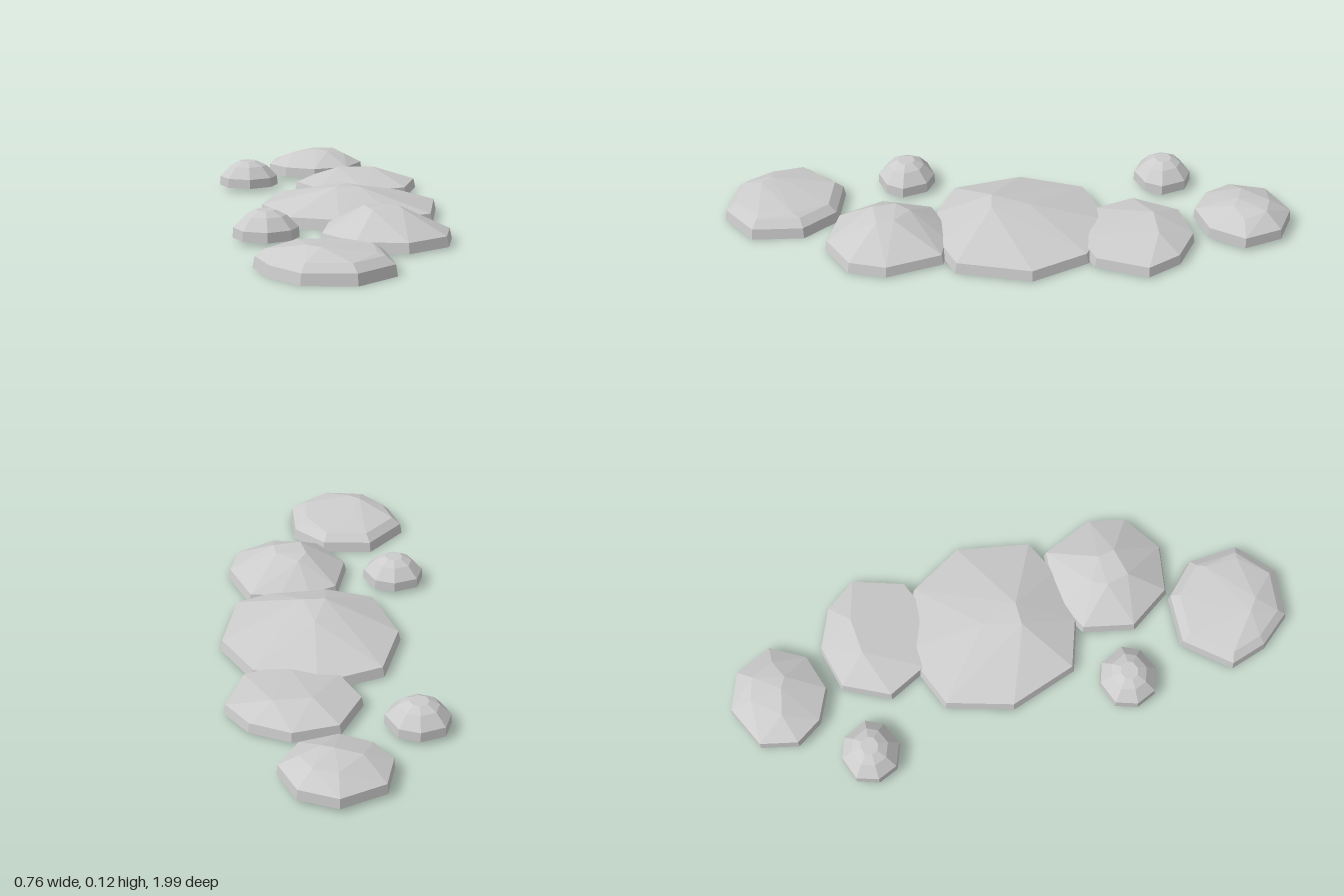
import * as THREE from 'three';
import { ConvexGeometry } from 'three/addons/geometries/ConvexGeometry.js';

const material = new THREE.MeshStandardMaterial({ color: 0xcccccc, flatShading: true, side: THREE.DoubleSide });

// Faceted stone shell, open underneath.
// outline: [x, z] corners; rings: [scale, y] from base upwards; peaks: [x, y, z] crown points
function stone(name, outline, rings, peaks, dx = 0, dz = 0) {
  const cx = outline.reduce((s, p) => s + p[0], 0) / outline.length;
  const cz = outline.reduce((s, p) => s + p[1], 0) / outline.length;
  const points = peaks.map(p => new THREE.Vector3(...p));
  for (const [s, y] of rings) {
    for (const [x, z] of outline) points.push(new THREE.Vector3(cx + (x - cx) * s, y, cz + (z - cz) * s));
  }
  // drop the underside triangles of the hull
  const hull = new ConvexGeometry(points).getAttribute('position');
  const baseY = rings[0][1];
  const kept = [];
  for (let i = 0; i < hull.count; i += 3) {
    const onBase = [0, 1, 2].every(k => Math.abs(hull.getY(i + k) - baseY) < 1e-4);
    if (onBase) continue;
    for (let k = 0; k < 3; k++) kept.push(hull.getX(i + k), hull.getY(i + k), hull.getZ(i + k));
  }
  const geometry = new THREE.BufferGeometry();
  geometry.setAttribute('position', new THREE.Float32BufferAttribute(kept, 3));
  geometry.computeVertexNormals();
  const mesh = new THREE.Mesh(geometry, material);
  mesh.name = name;
  mesh.position.set(dx, 0, dz);
  return mesh;
}

export function createModel() {
  const group = new THREE.Group();
  group.name = 'steppingStones';

  group.add(stone('backStone',
    [[0, -1], [0.13, -0.95], [0.19, -0.82], [0.12, -0.7], [-0.01, -0.66], [-0.12, -0.71], [-0.18, -0.8], [-0.15, -0.93]],
    [[1, 0.014], [0.98, 0.05]],
    [[0.01, 0.105, -0.81], [0.05, 0.1, -0.79], [-0.08, 0.092, -0.83], [0.08, 0.095, -0.9], [0, 0.092, -0.92], [0.12, 0.085, -0.82]]));

  group.add(stone('backMiddleStone',
    [[-0.02, -0.61], [0.14, -0.65], [0.28, -0.59], [0.36, -0.48], [0.3, -0.3], [0.15, -0.24], [-0.03, -0.31], [-0.1, -0.45]],
    [[1, 0.008], [0.97, 0.042]],
    [[0.07, 0.086, -0.51], [0.2, 0.084, -0.52]]));

  group.add(stone('largeStone',
    [[-0.18, -0.28], [0.05, -0.37], [0.27, -0.28], [0.38, -0.09], [0.33, 0.17], [0.2, 0.23], [0, 0.25], [-0.17, 0.19], [-0.25, -0.05]],
    [[1, 0.004], [0.975, 0.04]],
    [[0.01, 0.118, 0.05], [0.09, 0.117, 0.05], [-0.06, 0.096, 0.03], [0.05, 0.105, -0.08]]));

  group.add(stone('frontMiddleStone',
    [[-0.04, 0.26], [0.06, 0.21], [0.17, 0.2], [0.28, 0.21], [0.36, 0.4], [0.33, 0.53], [0.19, 0.62], [0.02, 0.59], [-0.08, 0.44]],
    [[1, 0.006], [0.965, 0.04]],
    [[0.09, 0.118, 0.46], [0.19, 0.117, 0.44], [0.18, 0.118, 0.38], [0.07, 0.118, 0.38], [0.1, 0.11, 0.33]]));

  group.add(stone('frontStone',
    [[-0.18, 0.58], [0, 0.59], [0.11, 0.7], [0.12, 0.88], [-0.01, 0.99], [-0.18, 0.97], [-0.27, 0.86], [-0.31, 0.73]],
    [[1, 0], [0.97, 0.037], [0.83, 0.062]],
    [[-0.15, 0.094, 0.84], [-0.11, 0.093, 0.87], [-0.12, 0.083, 0.76], [0.06, 0.072, 0.74], [0.06, 0.07, 0.86]]));

  // Two matching pebbles on the right-hand side
  const pebble = [[-0.27, -0.67], [-0.2, -0.645], [-0.16, -0.56], [-0.19, -0.5], [-0.27, -0.465], [-0.35, -0.495], [-0.38, -0.565], [-0.355, -0.64]];
  const pebbleRings = [[1, 0.014], [0.98, 0.048], [0.62, 0.088], [0.3, 0.105]];
  group.add(stone('backPebble', pebble, pebbleRings, []));
  group.add(stone('frontPebble', pebble, pebbleRings, [], 0.02, 0.93));

  return group;
}
